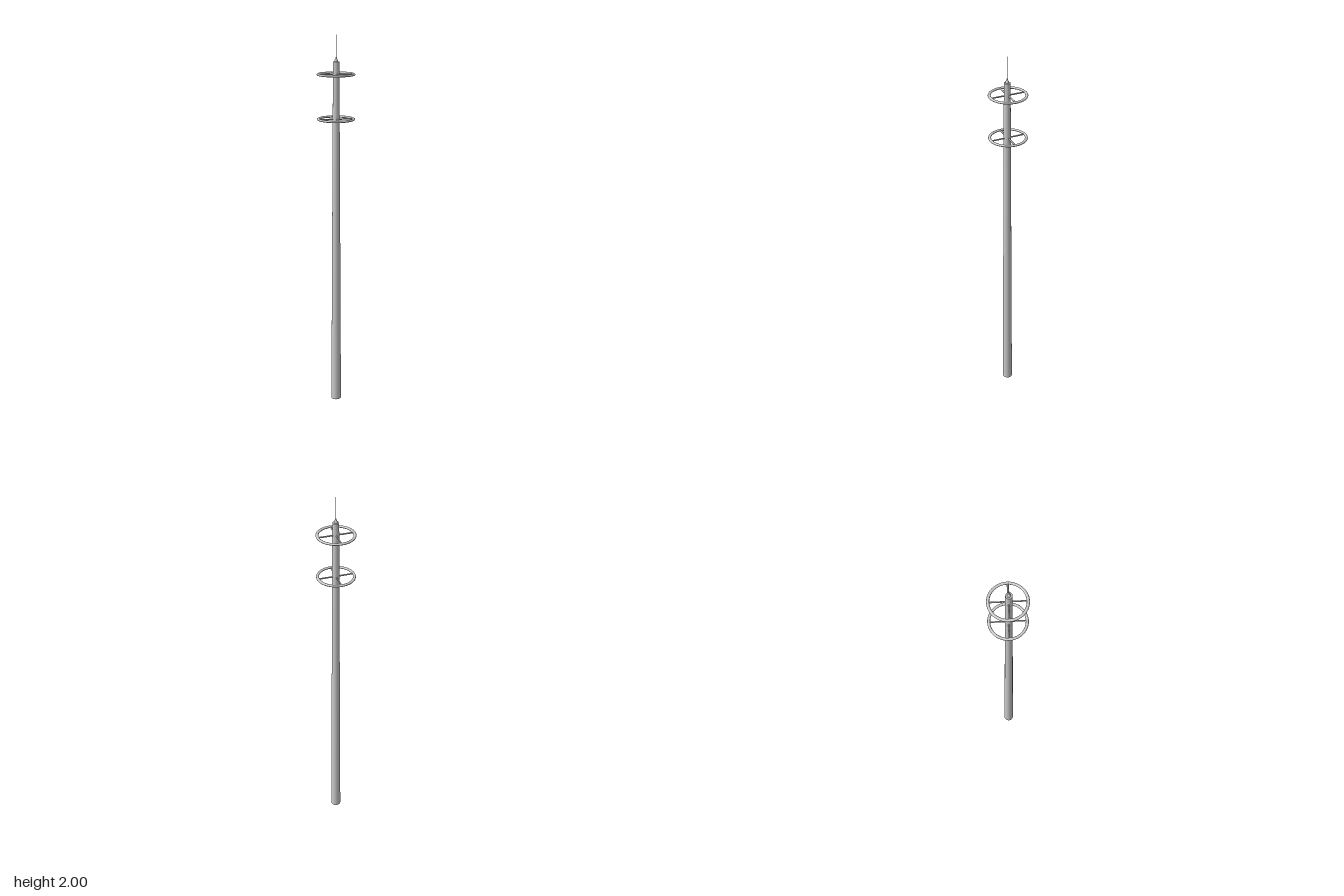
import * as THREE from 'three';

export function createModel() {
  const group = new THREE.Group();
  const material = new THREE.MeshStandardMaterial({ color: 0xcccccc });
  const add = (parent, name, geometry, x = 0, y = 0, z = 0) => {
    const mesh = new THREE.Mesh(geometry, material);
    mesh.name = name;
    mesh.position.set(x, y, z);
    parent.add(mesh);
    return mesh;
  };

  const poleZ = 0.002;
  const poleTop = 1.867;

  // Tall tapered pole
  add(group, 'pole', new THREE.CylinderGeometry(0.0165, 0.027, poleTop, 20), 0, poleTop / 2, poleZ);

  // Small stepped finial on the pole top
  const finial = [[0.0095, 0], [0.009, 0.006], [0.005, 0.013], [0.003, 0.022], [0, 0.024]];
  add(group, 'finial', new THREE.LatheGeometry(
    finial.map(([r, y]) => new THREE.Vector2(r, y)), 16), 0, poleTop, poleZ);

  // Thin lightning rod
  const rodBase = poleTop + 0.015;
  add(group, 'lightningRod', new THREE.CylinderGeometry(0.0012, 0.0015, 2 - rodBase, 8),
    0, (2 + rodBase) / 2, poleZ);

  // Two spoked hoops around the upper pole
  const makeHoop = (name, y) => {
    const hoop = new THREE.Group();
    hoop.name = name;
    hoop.position.y = y;
    const rim = new THREE.TorusGeometry(0.0915, 0.0073, 10, 40);
    rim.rotateX(Math.PI / 2);
    rim.scale(1, 0.8, 1);
    add(hoop, 'rim', rim, 0, 0, -0.002);
    for (let i = 0; i < 2; i++) {
      const spoke = new THREE.CylinderGeometry(0.0038, 0.0038, 0.178, 8);
      spoke.rotateZ(Math.PI / 2);
      spoke.rotateY(i * Math.PI / 2);
      add(hoop, 'spoke', spoke);
    }
    group.add(hoop);
  };
  makeHoop('upperHoop', 1.802);
  makeHoop('lowerHoop', 1.573);

  return group;
}
